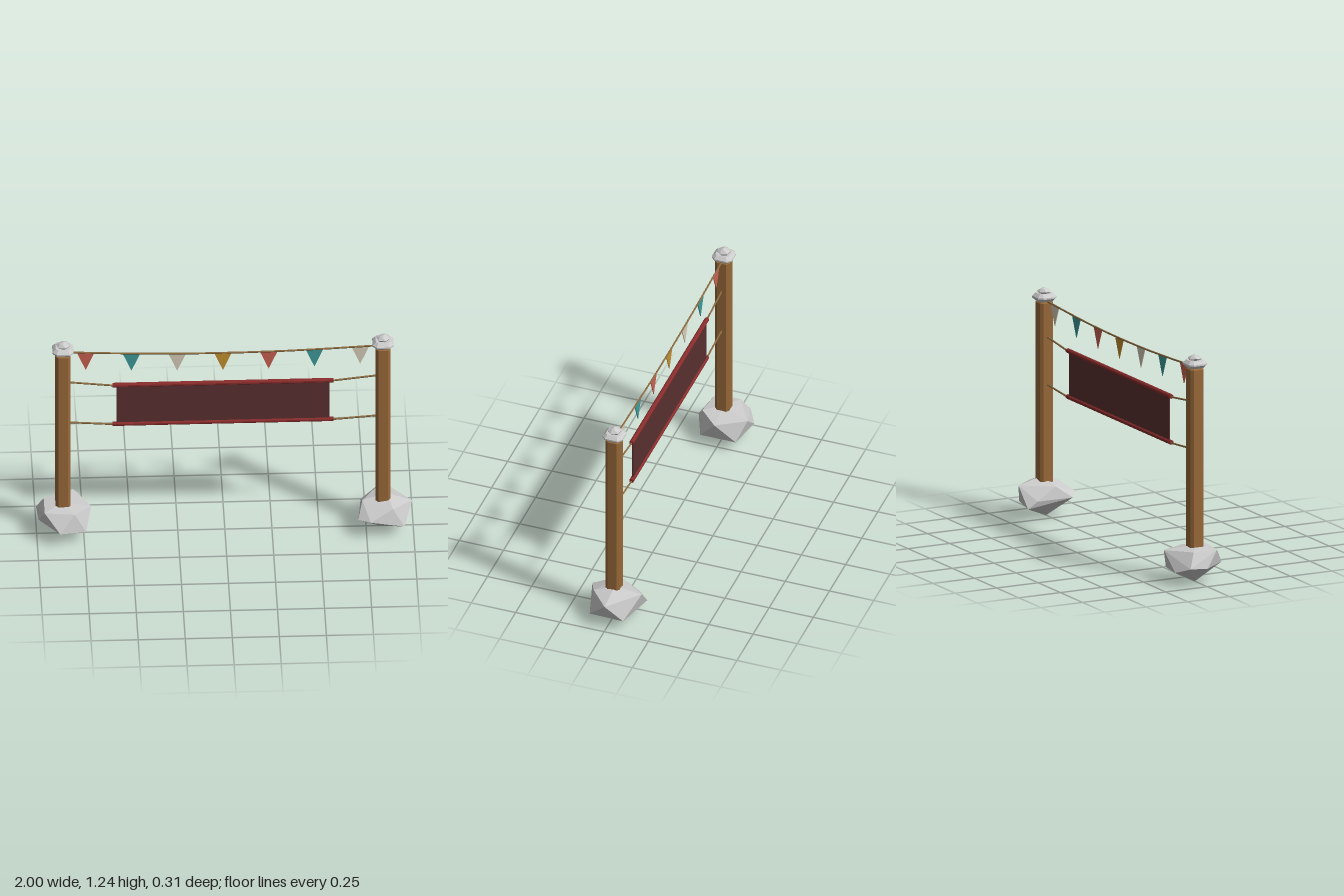
import * as THREE from 'three';
import { ConvexGeometry } from 'three/addons/geometries/ConvexGeometry.js';

const MID = -0.01, POST = 0.85; // gate centre line and post offset

const paint = (color) => new THREE.MeshStandardMaterial({ color, flatShading: true, side: THREE.DoubleSide });
const STONE = paint(0xcccccc), WOOD = paint(0x99693a), ROPE = paint(0x8a6a40);
const CLOTH = paint(0x5a3030), ROD = paint(0x8a2c2c);
const RED = paint(0xcb6152), TEAL = paint(0x3f9c9c), CREAM = paint(0xd8cfba), GOLD = paint(0xc4912f);

function add(parent, name, geometry, material, x = 0, y = 0, z = 0) {
  const mesh = new THREE.Mesh(geometry, material);
  mesh.name = name;
  mesh.position.set(x, y, z);
  parent.add(mesh);
  return mesh;
}

const hull = (points) => new ConvexGeometry(points.map((p) => new THREE.Vector3(...p)));

// square outline of half width h with corners cut by c
function cutSquare(h, c) {
  const k = h - c;
  return new THREE.Shape([[h, -k], [h, k], [k, h], [-k, h], [-h, k], [-h, -k], [-k, -h], [k, -h]]
    .map(([x, y]) => new THREE.Vector2(x, y)));
}

// upright chamfered block whose base sits at y = 0
function block(half, cut, height, bevel) {
  const g = new THREE.ExtrudeGeometry(cutSquare(half - bevel, cut), {
    depth: height - 2 * bevel, bevelEnabled: true, bevelSegments: 1,
    bevelSize: bevel, bevelThickness: bevel,
  });
  return g.translate(0, 0, bevel).rotateX(-Math.PI / 2);
}

// rope along a list of points
function rope(points, segments) {
  const curve = new THREE.CatmullRomCurve3(points.map(([x, y]) => new THREE.Vector3(x, y, 0)));
  return new THREE.TubeGeometry(curve, segments, 0.005, 6);
}

// corner points of the two foot boulders, relative to the post
const BOULDERS = {
  right: [
    [0, 0.005, 0], [-0.14, 0.11, -0.1], [-0.06, 0.08, -0.15], [0.12, 0.07, -0.11], [0.12, 0.07, 0.09],
    [-0.02, 0.1, 0.15], [-0.13, 0.1, 0.01], [-0.1, 0.19, 0.08], [-0.1, 0.19, -0.06],
    [0.06, 0.18, -0.155], [0.15, 0.175, 0], [0.06, 0.19, 0.1], [0, 0.205, 0],
  ],
  left: [
    [-0.02, 0.005, 0], [-0.135, 0.115, 0.1], [-0.115, 0.11, -0.1], [-0.1, 0.07, -0.15], [0.115, 0.065, -0.09],
    [0.11, 0.065, 0.1], [-0.07, 0.13, 0.15], [-0.11, 0.18, 0.01], [0, 0.18, -0.155],
    [0.155, 0.165, 0], [0.02, 0.21, -0.01], [0.05, 0.18, 0.1],
  ],
};

function post(side, boulder) {
  const g = new THREE.Group();
  g.name = side + 'Post';
  add(g, 'footBoulder', hull(boulder), STONE);
  add(g, 'postBeam', block(0.04, 0.009, 1.035, 0.009), WOOD, 0, 0.14);
  add(g, 'capStone', block(0.056, 0.012, 0.042, 0.017), STONE, 0, 1.174);
  // faceted knob on the cap
  const knob = [[0.004, 1.247, 0.002]];
  for (let i = 0; i < 6; i++) {
    const a = (i * Math.PI) / 3 + 0.2, r = 0.036 + 0.003 * (i % 2);
    knob.push([Math.cos(a) * r, 1.223 + 0.004 * (i % 2), Math.sin(a) * r]);
    knob.push([Math.cos(a + 0.4) * 0.02, 1.238, Math.sin(a + 0.4) * 0.02]);
    knob.push([Math.cos(a) * 0.028, 1.21, Math.sin(a) * 0.028]);
  }
  add(g, 'capKnob', hull(knob), STONE);
  return g;
}

export function createModel() {
  const model = new THREE.Group();
  model.name = 'bannerGate';

  for (const [side, s] of [['right', -1], ['left', 1]]) {
    const p = post(side, BOULDERS[side]);
    p.position.x = MID + s * POST;
    model.add(p);
  }

  // hanging banner: cloth between two rods, tied to the posts
  const banner = new THREE.Group();
  banner.name = 'banner';
  banner.position.x = MID;
  model.add(banner);
  add(banner, 'bannerCloth', new THREE.BoxGeometry(1.13, 0.25, 0.008), CLOTH, 0, 0.831);
  for (const [y, yPost] of [[0.957, 0.982], [0.706, 0.722]]) {
    const rod = add(banner, 'bannerRod', new THREE.CylinderGeometry(0.0125, 0.0125, 1.175, 8), ROD, 0, y);
    rod.rotation.set(0, Math.PI / 8, Math.PI / 2, 'ZYX');
    for (const s of [-1, 1]) {
      add(banner, 'tieRope', rope([[s * 0.57, y - 0.004], [s * 0.82, yPost]], 1), ROPE);
    }
  }

  // sagging line of pennants
  const sag = (x) => 1.15 + 0.026 * (x / 0.82) ** 2;
  const bunting = new THREE.Group();
  bunting.name = 'bunting';
  bunting.position.x = MID;
  model.add(bunting);
  const line = [-0.82, -0.41, 0, 0.41, 0.82].map((x) => [x, sag(x)]);
  add(bunting, 'buntingRope', rope(line, 7), ROPE);
  const flag = new THREE.ExtrudeGeometry(
    new THREE.Shape([[-0.047, 0], [0, -0.112], [0.047, 0]].map(([x, y]) => new THREE.Vector2(x, y))),
    { depth: 0.004, bevelEnabled: false }).translate(0, 0, -0.002);
  [RED, TEAL, CREAM, GOLD, RED, TEAL, CREAM].forEach((material, i) => {
    const x = (i - 3) * 0.243;
    add(bunting, 'pennant', flag, material, x, sag(x) + 0.002);
  });

  return model;
}
